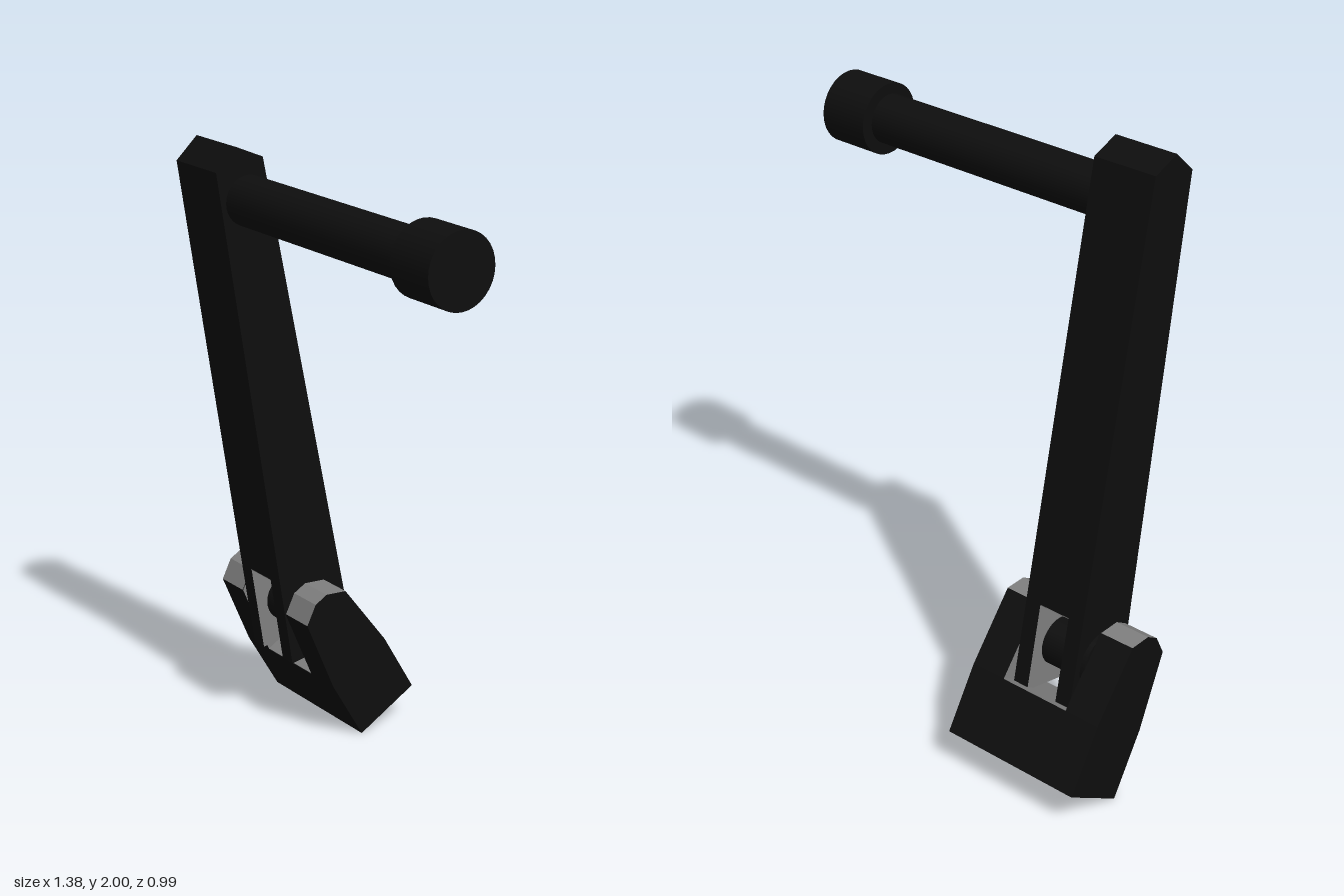
import * as THREE from 'three';

const dark = new THREE.MeshStandardMaterial({ color: 0x0e0e0e });
const grey = new THREE.MeshStandardMaterial({ color: 0x808080 });

const MID = -0.436;                       // sideways centre of hinge and lever
const HALF = 0.2535, SLOT = 0.13;         // block half width, half slot
const ARM = 0.1135, FORK = 0.06;          // lever half width, half fork gap

function add(parent, name, geometry, material) {
  const mesh = new THREE.Mesh(geometry, material);
  mesh.name = name;
  parent.add(mesh);
  return mesh;
}

// Side profile in (z, y), extruded along x from x0 to x1
function prism(points, x0, x1) {
  const shape = new THREE.Shape(points.map(([z, y]) => new THREE.Vector2(z, y)));
  const g = new THREE.ExtrudeGeometry(shape, { depth: x1 - x0, bevelEnabled: false });
  return g.rotateY(-Math.PI / 2).translate(x1, 0, 0);
}

// Cylinder along x
function rod(parent, name, r, x0, x1, y, z) {
  const g = new THREE.CylinderGeometry(r, r, x1 - x0, 32).rotateZ(Math.PI / 2);
  add(parent, name, g.translate((x0 + x1) / 2, y, z), dark);
}

// Span of x measured outward from the middle on one side
function span(side, a, b) {
  return side > 0 ? [MID + a, MID + b] : [MID - b, MID - a];
}

function makeBase() {
  const base = new THREE.Group();
  base.name = 'hingeBase';
  base.position.set(0, 0.06, -0.23);
  base.rotation.x = Math.PI / 6;

  // Solid foot with pale slot floor and underside panel
  add(base, 'foot', prism([[-0.12, 0], [0.12, 0], [0.12, 0.23], [-0.12, 0.23]], MID - HALF, MID + HALF), dark);
  add(base, 'slotFloor', new THREE.BoxGeometry(2 * SLOT, 0.004, 0.238).translate(MID, 0.231, 0), grey);
  add(base, 'undersidePanel', new THREE.BoxGeometry(2 * SLOT, 0.004, 0.1).translate(MID, -0.001, 0), grey);

  // Tapered cheeks with pale bevelled tops and inner walls
  const cheek = [[-0.12, 0.23], [0.12, 0.23], [0.087, 0.489], [-0.087, 0.489]];
  const cap = [[-0.087, 0.489], [0.087, 0.489], [0.025, 0.53], [-0.025, 0.53]];
  for (const side of [1, -1]) {
    add(base, 'cheek', prism(cheek, ...span(side, SLOT, HALF)), dark);
    add(base, 'cheekTop', prism(cap, ...span(side, SLOT, HALF)), [dark, grey]);
    const wall = [...cheek.slice(0, 3), [0.025, 0.53], [-0.025, 0.53], cheek[3]];
    add(base, 'cheekInnerWall', prism(wall, ...span(side, SLOT - 0.003, SLOT)), [grey, dark]);
  }
  return base;
}

function makeLever() {
  const lever = new THREE.Group();
  lever.name = 'lever';
  lever.rotation.x = THREE.MathUtils.degToRad(10);

  // The lever narrows gently toward its pointed top
  const axis = -0.112, tip = 0.256, forkTop = 0.55, shoulder = 1.955;
  const half = (s) => 0.086 + 0.022 * (shoulder - s);
  const row = (s) => [[axis - half(s), s], [axis + half(s), s]];
  const [lowBack, lowFront] = row(tip);
  const [midBack, midFront] = row(forkTop);
  const [topBack, topFront] = row(shoulder);

  add(lever, 'leverArm', prism([midBack, midFront, topFront, [axis, 2.011], topBack], MID - ARM, MID + ARM), dark);
  const prong = [lowBack, lowFront, midFront, midBack];
  for (const side of [1, -1]) {
    add(lever, 'forkProng', prism(prong, ...span(side, FORK, ARM)), dark);
    add(lever, 'forkInnerWall', prism(prong, ...span(side, FORK - 0.003, FORK)), [grey, dark]);
  }
  const roof = new THREE.BoxGeometry(2 * FORK, 0.004, 2 * half(forkTop) - 0.002);
  add(lever, 'forkRoof', roof.translate(MID, forkTop - 0.001, axis), grey);
  return lever;
}

export function createModel() {
  const model = new THREE.Group();
  model.name = 'crankLever';
  const turned = new THREE.Group();
  turned.name = 'turnedAssembly';
  turned.rotation.y = -Math.PI / 12;
  model.add(turned);

  turned.add(makeBase(), makeLever());

  // Hinge pin and spacers beside the fork
  rod(turned, 'hingePin', 0.08, MID - SLOT, MID + SLOT, 0.41, -0.04);
  for (const side of [1, -1]) {
    rod(turned, 'hingeSpacer', 0.1, ...span(side, ARM, SLOT), 0.41, -0.04);
  }

  // Handle and its end knob
  rod(turned, 'handle', 0.08, MID, 0.6, 1.83, 0.2);
  rod(turned, 'handleKnob', 0.116, 0.561, 0.736, 1.83, 0.197);
  return model;
}
